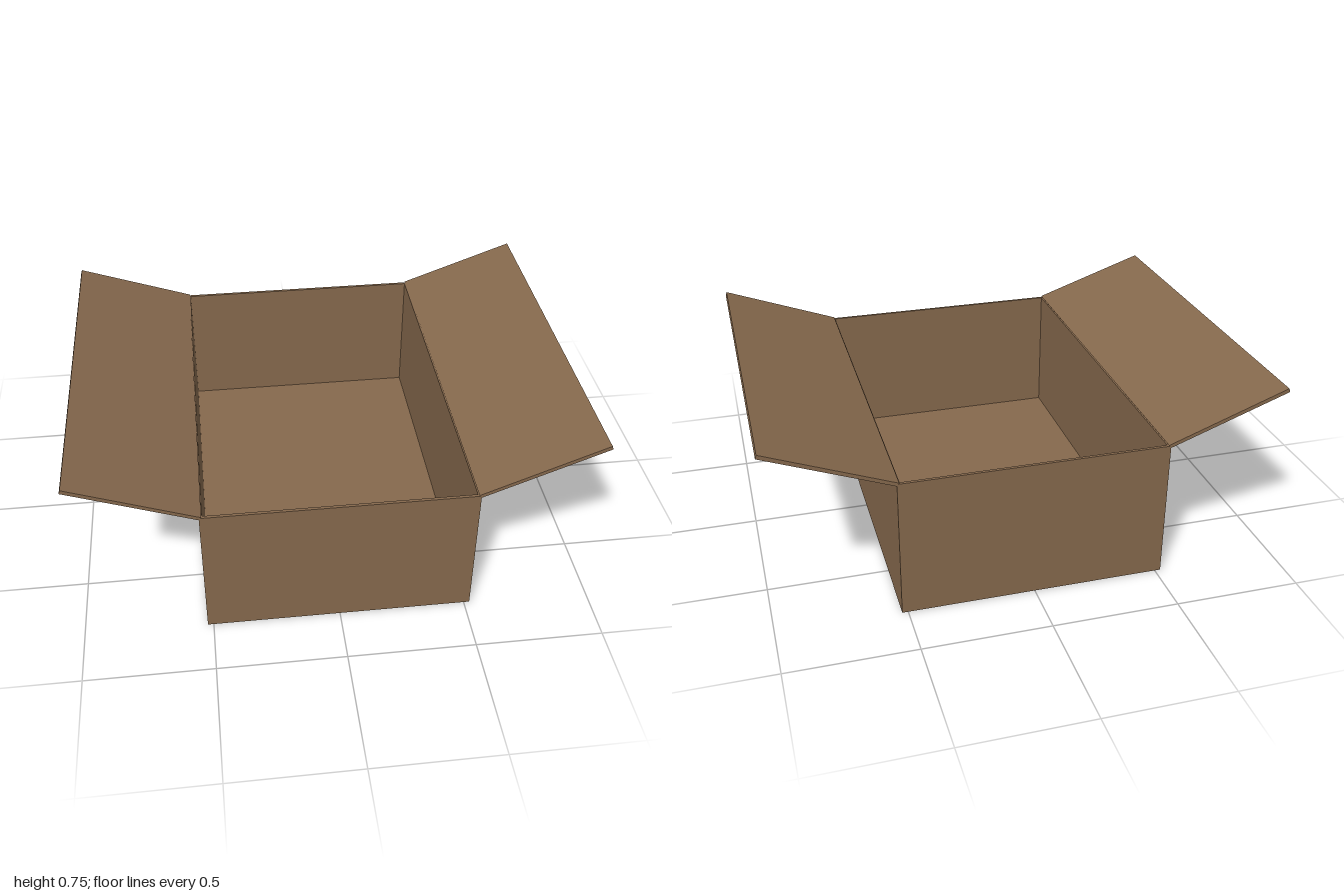
import * as THREE from 'three';

const HX = 0.523, HZ = 0.777, TOP = 0.565, WALL = 0.012;

export function createModel() {
  const model = new THREE.Group();
  model.name = 'openBox';
  const cardboard = new THREE.MeshStandardMaterial({ color: 0x86694d });
  cardboard.name = 'cardboard';

  const add = (name, geometry, x = 0, y = 0, z = 0) => {
    const mesh = new THREE.Mesh(geometry, cardboard);
    mesh.name = name;
    mesh.position.set(x, y, z);
    model.add(mesh);
  };

  // Floor and four thin walls
  add('floor', new THREE.BoxGeometry(HX * 2, WALL, HZ * 2), 0, WALL / 2, 0);
  const wallHeight = TOP - WALL, wallY = WALL + wallHeight / 2;
  for (const s of [1, -1]) {
    add(s > 0 ? 'frontWall' : 'backWall',
      new THREE.BoxGeometry(HX * 2, wallHeight, WALL), 0, wallY, s * (HZ - WALL / 2));
    add(s > 0 ? 'leftWall' : 'rightWall',
      new THREE.BoxGeometry(WALL, wallHeight, (HZ - WALL) * 2), s * (HX - WALL / 2), wallY, 0);
  }

  // Flap: slanted strip, slightly narrower at its free edge
  const flap = (name, side, tipY) => {
    const corners = [[HX, 0.557], [1, tipY - 0.015], [0.995, tipY], [HX - 0.009, 0.569]]
      .map(([x, y]) => new THREE.Vector2(side * x, y));
    const geometry = new THREE.ExtrudeGeometry(new THREE.Shape(corners),
      { depth: HZ * 2, bevelEnabled: false });
    geometry.translate(0, 0, -HZ);
    const p = geometry.attributes.position;
    for (let i = 0; i < p.count; i++) {
      if (Math.abs(p.getX(i)) > 0.9) p.setZ(i, Math.sign(p.getZ(i)) * (HZ - 0.01));
    }
    geometry.computeVertexNormals();
    add(name, geometry);
  };
  flap('leftFlap', 1, 0.75);
  flap('rightFlap', -1, 0.739);

  return model;
}
